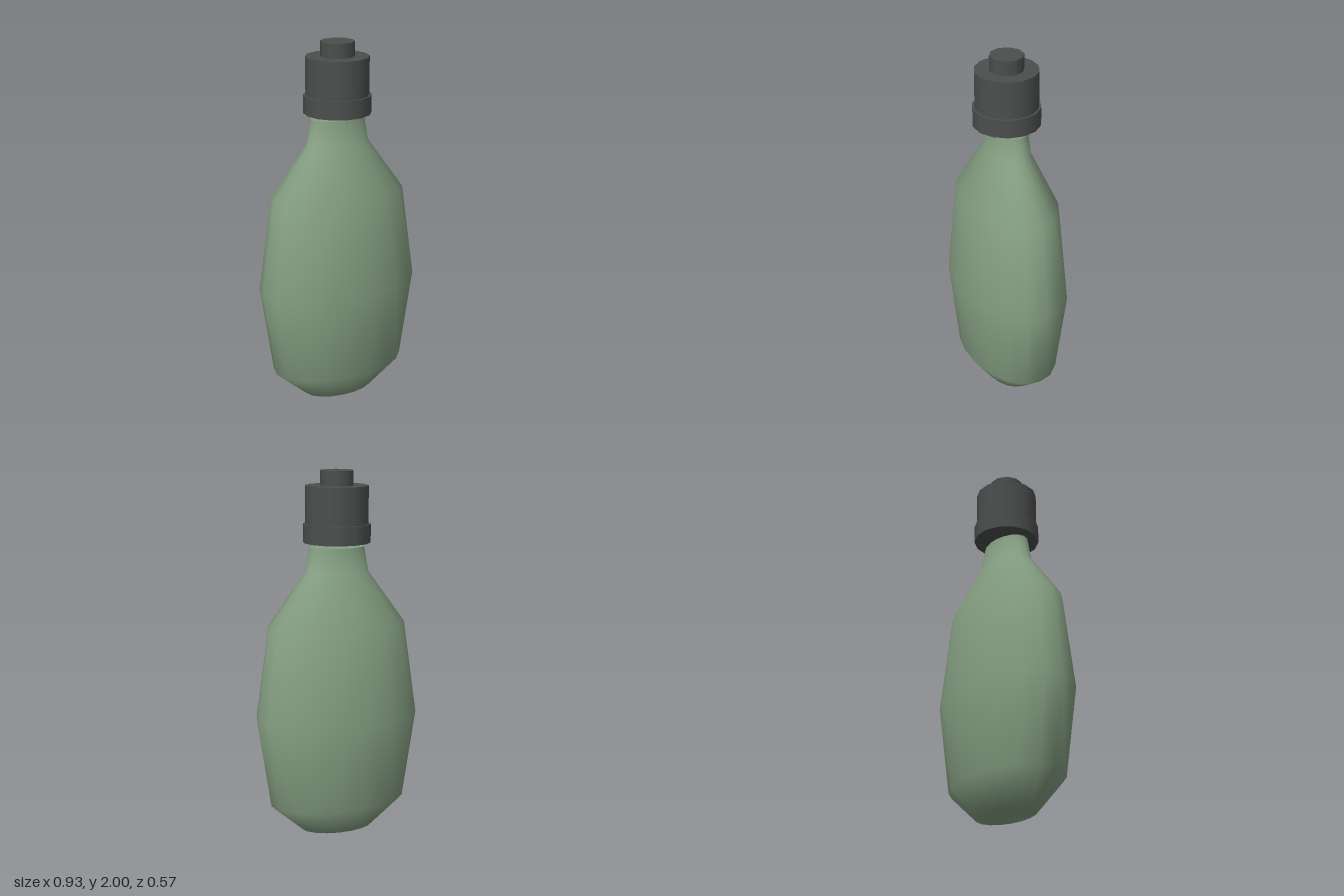
import * as THREE from 'three';

const green = new THREE.MeshStandardMaterial({ color: 0x86a083 });
green.name = 'sage green';
const grey = new THREE.MeshStandardMaterial({ color: 0x4c4f4d });
grey.name = 'dark grey';

// Upright disc stack part with a corner on the +x axis
function drum(name, radius, bottom, top, sides) {
  const geometry = new THREE.CylinderGeometry(radius, radius, top - bottom, sides, 1, false, Math.PI / 2);
  geometry.translate(0, (bottom + top) / 2, 0);
  const mesh = new THREE.Mesh(geometry, grey);
  mesh.name = name;
  return mesh;
}

export function createModel() {
  const model = new THREE.Group();
  model.name = 'bottle';
  const depth = 0.62; // oval cross-section, depth to width

  // Bottle body, turned and then flattened front to back
  const profile = [
    [0, 0], [0.207, 0], [0.39, 0.16], [0.465, 0.65],
    [0.39, 1.17], [0.18, 1.455], [0.155, 1.59],
  ].map(([r, y]) => new THREE.Vector2(r, y));
  const bodyGeometry = new THREE.LatheGeometry(profile, 18, Math.PI / 2);
  bodyGeometry.scale(1, 1, depth);
  const body = new THREE.Mesh(bodyGeometry, green);
  body.name = 'body';
  model.add(body);

  // Flat top of the neck
  const neckGeometry = new THREE.CircleGeometry(0.155, 18);
  neckGeometry.rotateX(-Math.PI / 2).scale(1, 1, depth).translate(0, 1.59, 0);
  const neckTop = new THREE.Mesh(neckGeometry, green);
  neckTop.name = 'neckTop';
  model.add(neckTop);

  // Cap floating just above the neck
  const cap = new THREE.Group();
  cap.name = 'cap';
  cap.add(
    drum('collar', 0.183, 1.615, 1.715, 14),
    drum('capBarrel', 0.171, 1.715, 1.92, 14),
    drum('nozzle', 0.092, 1.92, 2, 10),
  );
  model.add(cap);
  return model;
}
